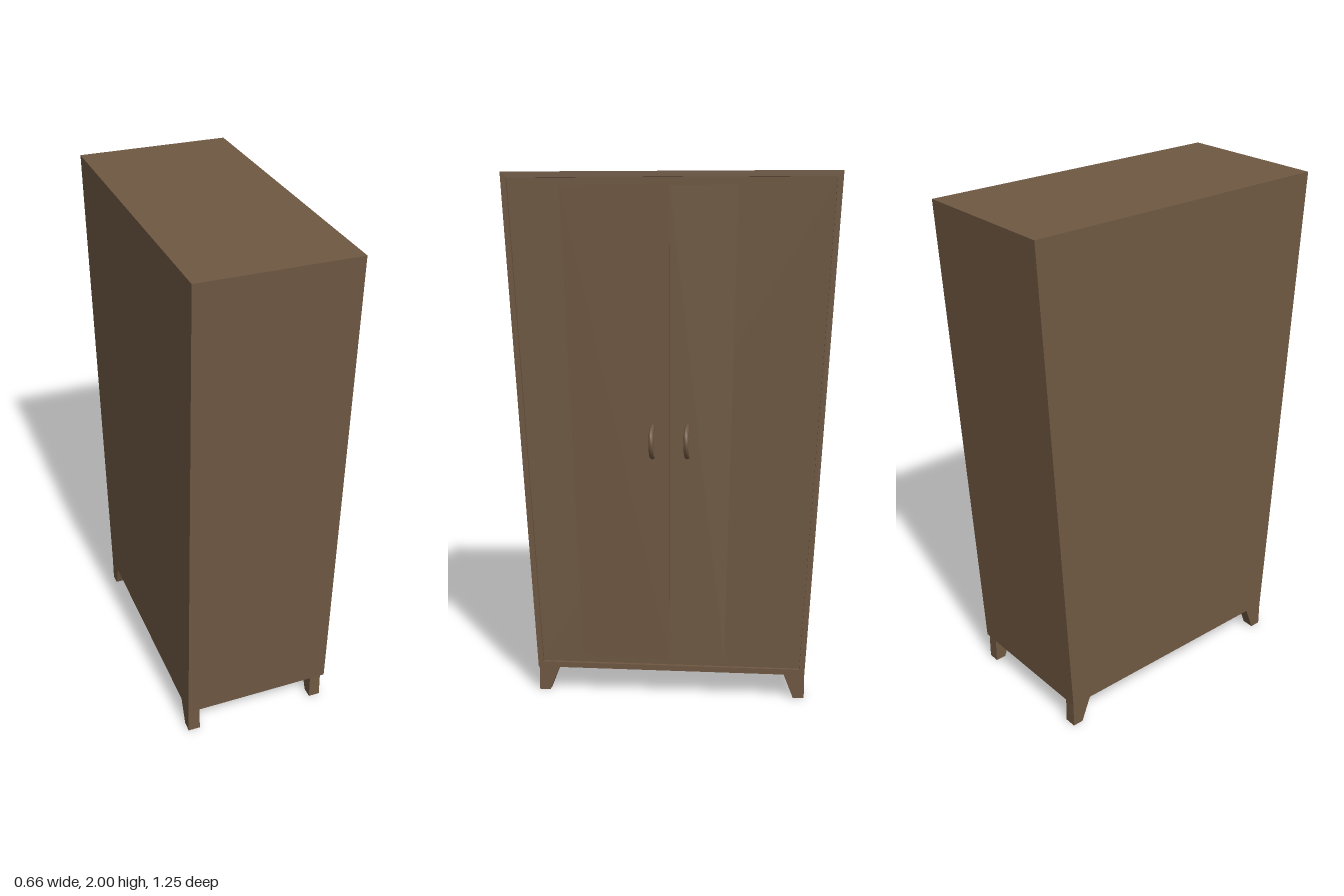
import * as THREE from 'three';

const wood = new THREE.MeshStandardMaterial({ color: 0x6f5842 });
wood.name = 'brown wood';

const BASE = 0.1, TOP = 2, BACK = -0.333, PANEL = 0.2445, FRONT = 0.258;

// Half width of the tapered cabinet at a given height
const halfWidth = (y) => 0.5185 + ((y - BASE) * (0.627 - 0.5185)) / (TOP - BASE);

// Trapezoid outline, set in from the cabinet's edge
function outline(inset) {
  const y0 = BASE + inset, y1 = TOP - inset;
  const a = halfWidth(y0) - inset, b = halfWidth(y1) - inset;
  return [[-a, y0], [a, y0], [b, y1], [-b, y1]].map(([x, y]) => new THREE.Vector2(x, y));
}

// Extrude an elevation shape from x0 to x1
function extrudeX(shape, x0, x1) {
  const g = new THREE.ExtrudeGeometry(shape, { depth: x1 - x0, bevelEnabled: false });
  g.rotateY(Math.PI / 2);
  g.translate(x0, 0, 0);
  return g;
}

export function createModel() {
  const model = new THREE.Group();
  model.name = 'wardrobe';
  const add = (name, geometry) => {
    const mesh = new THREE.Mesh(geometry, wood);
    mesh.name = name;
    model.add(mesh);
    return mesh;
  };

  // Solid carcass and the raised frame around its front
  add('carcass', extrudeX(new THREE.Shape(outline(0)), BACK, PANEL));
  const rim = new THREE.Shape(outline(0));
  rim.holes.push(new THREE.Path(outline(0.021).reverse()));
  add('frontFrame', extrudeX(rim, PANEL, FRONT));

  // Doors standing slightly ajar: wedges that sink into the front panel
  const doors = [
    { name: 'leftDoor', side: 1, lip: 0.27, reach: 0.41, handleX: 0.263 },
    { name: 'rightDoor', side: -1, lip: 0.257, reach: 0.25, handleX: 0.251 },
  ];
  for (const { name, side, lip, reach, handleX } of doors) {
    const y0 = 0.15, y1 = 1.95;
    const wedge = new THREE.Shape([
      new THREE.Vector2(0.24, 0),
      new THREE.Vector2(lip, 0),
      new THREE.Vector2(PANEL, -side * reach),
      new THREE.Vector2(0.24, -side * reach),
    ]);
    const g = new THREE.ExtrudeGeometry(wedge, { depth: y1 - y0, bevelEnabled: false });
    g.rotateX(-Math.PI / 2);
    g.translate(0, y0, 0);
    // Follow the cabinet's taper
    const p = g.attributes.position;
    for (let i = 0; i < p.count; i++) {
      p.setZ(i, (p.getZ(i) * halfWidth(p.getY(i))) / halfWidth(y1));
    }
    g.computeVertexNormals();
    add(name, g);

    // Half-ring pull handle
    const ring = new THREE.TorusGeometry(0.058, 0.0095, 8, 6, Math.PI);
    ring.rotateZ(-Math.PI / 2);
    add(name + 'Handle', ring).position.set(handleX, 1.004, side * 0.065);
  }

  // Four feet, vertical outside and slanted inside
  for (const side of [1, -1]) {
    const foot = new THREE.Shape(
      [[0.476, 0], [0.5185, 0], [0.5185, BASE], [0.437, BASE]]
        .map(([z, y]) => new THREE.Vector2(-side * z, y)));
    add('backFoot', extrudeX(foot, BACK, -0.286));
    add('frontFoot', extrudeX(foot, 0.196, 0.241));
  }
  return model;
}
